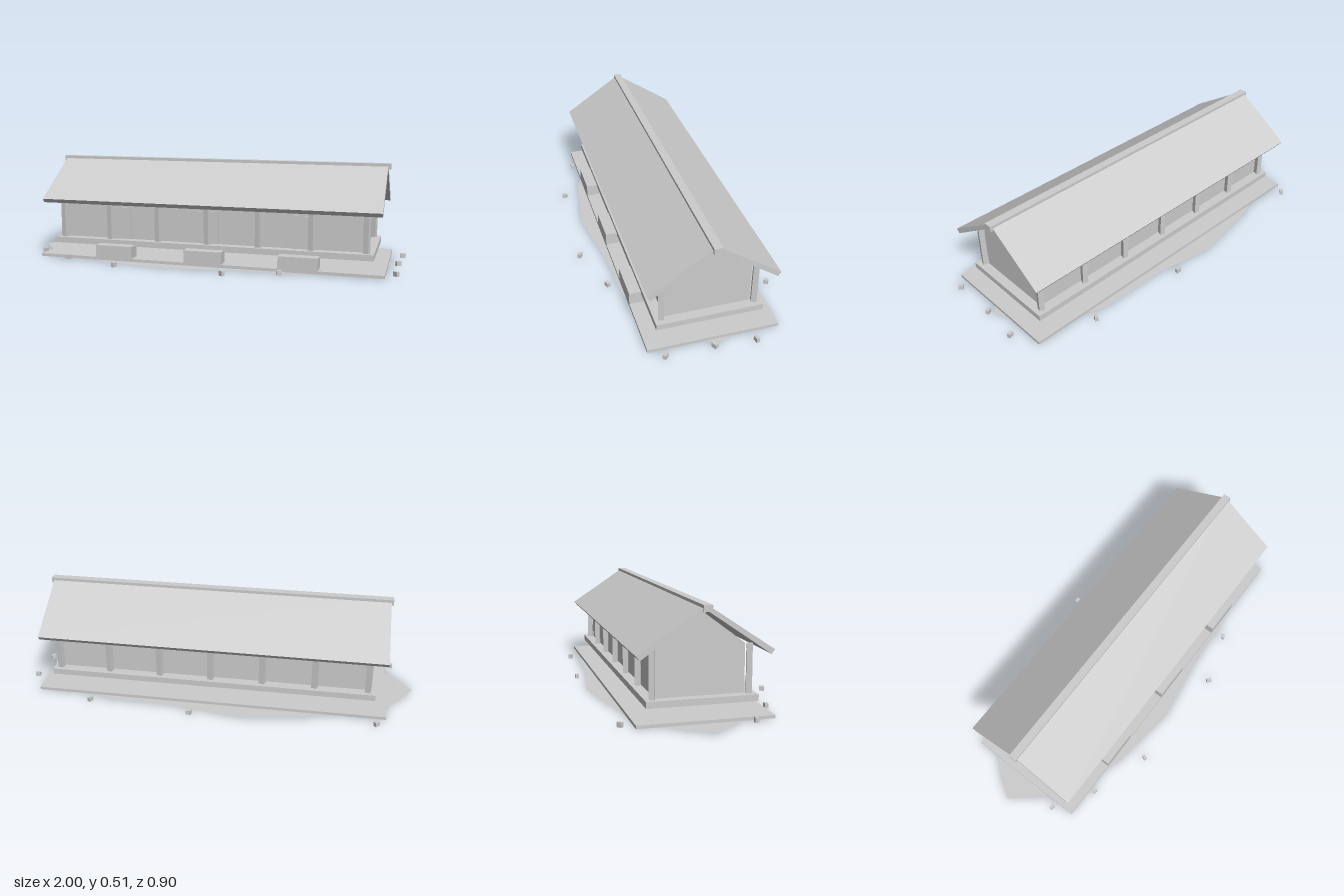
import * as THREE from 'three';

const CX = 0.033, CZ = -0.0335; // centre of the building

export function createModel() {
  const model = new THREE.Group();
  model.name = 'longHouse';
  const grey = new THREE.MeshStandardMaterial({ color: 0xcccccc });
  grey.name = 'plain grey';
  const greySheet = new THREE.MeshStandardMaterial({ color: 0xcccccc, side: THREE.DoubleSide });
  greySheet.name = 'plain grey sheet';

  const add = (name, geometry, material = grey) => {
    const mesh = new THREE.Mesh(geometry, material);
    mesh.name = name;
    model.add(mesh);
    return mesh;
  };
  // Box given by its extents on each axis
  const box = (name, x0, x1, y0, y1, z0, z1) => {
    const mesh = add(name, new THREE.BoxGeometry(x1 - x0, y1 - y0, z1 - z0));
    mesh.position.set((x0 + x1) / 2, (y0 + y1) / 2, (z0 + z1) / 2);
    return mesh;
  };
  // Cross-section in [z, y] pairs, drawn out along x
  const profile = (name, points, x0, x1) => {
    const shape = new THREE.Shape(points.map(([z, y]) => new THREE.Vector2(-z, y)));
    const geometry = new THREE.ExtrudeGeometry(shape, { depth: x1 - x0, bevelEnabled: false });
    geometry.rotateY(Math.PI / 2).translate(x0, 0, 0);
    return add(name, geometry);
  };

  // Uneven ground sheet and paved yard
  const outline = [
    [-1, -0.04], [-0.92, -0.165], [-0.855, -0.225], [-0.57, -0.355], [-0.46, -0.385],
    [-0.14, -0.44], [0.2, -0.385], [0.55, -0.38], [0.62, -0.35], [0.92, -0.105],
    [0.95, -0.04], [0.92, 0], [0.57, 0.275], [0.51, 0.29], [0.2, 0.31],
    [-0.13, 0.36], [-0.485, 0.31], [-0.57, 0.275], [-0.885, 0.1],
  ];
  const patch = new THREE.ShapeGeometry(
    new THREE.Shape(outline.map(([x, z]) => new THREE.Vector2(x, -z))));
  patch.rotateX(-Math.PI / 2).translate(0, 0.001, 0);
  add('groundPatch', patch, greySheet);
  box('yardSlab', -0.857, 0.922, 0.003, 0.018, -0.347, 0.28);

  // Raised floor
  box('floorPlatform', -0.8, 0.865, 0.07, 0.1, -0.289, 0.222);

  // Walls with gable ends
  profile('walls', [
    [0.172, 0.1], [0.172, 0.325], [CZ, 0.478], [-0.239, 0.325], [-0.239, 0.1],
  ], CX - 0.785, CX + 0.785);

  // Entrances, each with a step
  for (const x of [-0.445, 0.032, 0.511]) {
    box('door', x - 0.057, x + 0.057, 0.1, 0.265, 0.172, 0.179);
    box('step', x - 0.098, x + 0.098, 0.018, 0.08, 0.21, 0.28);
  }

  // Slightly turned posts along both long sides
  for (const z of [0.189, -0.255]) {
    for (let i = 0; i < 7; i++) {
      const x = CX - 0.795 + i * 0.265;
      box('post', x - 0.0133, x + 0.0133, 0.1, 0.325, z - 0.0133, z + 0.0133).rotation.y = -0.3;
    }
  }

  // Roof slopes and ridge beam
  for (const side of [1, -1]) {
    const slope = [[0.308, 0.309], [0.293, 0.289], [0, 0.488], [0, 0.513]];
    profile('roofSlope', slope.map(([z, y]) => [CZ + side * z, y]), -0.845, 0.904);
  }
  box('ridgeBeam', -0.856, 0.917, 0.485, 0.514, CZ - 0.02, CZ + 0.02);

  // Boundary stones around the yard: x, z, turn
  const stones = [
    [-0.81, -0.405, 0.7], [0.11, -0.45, 0], [0.63, -0.41, 1.1], [0.985, -0.215, 0.2],
    [0.97, -0.02, 0.5], [0.97, 0.21, -0.7], [0.435, 0.345, 0.4], [0.175, 0.43, -0.7],
    [-0.388, 0.405, 1.2], [-0.69, 0.303, -0.1], [-0.89, 0.177, -0.1],
  ];
  for (const [x, z, turn] of stones) {
    box('stone', x - 0.0125, x + 0.0125, 0.003, 0.026, z - 0.0085, z + 0.0085).rotation.y = turn;
  }
  return model;
}
